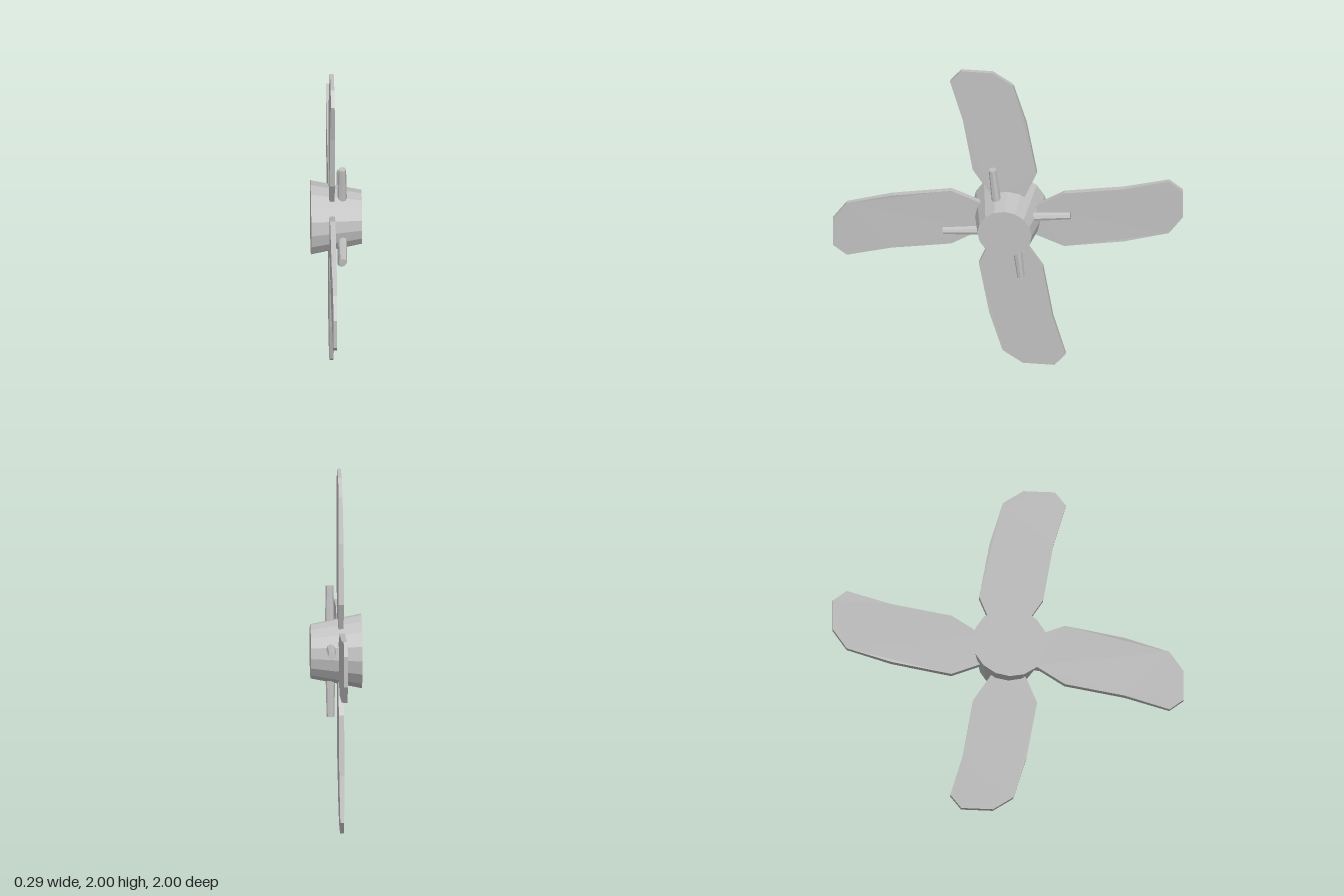
import * as THREE from 'three';

export function createModel() {
  const model = new THREE.Group();
  model.name = 'propeller';
  const metal = new THREE.MeshStandardMaterial({ color: 0xc0c0c0, flatShading: true });
  metal.name = 'grey metal';

  const rotor = new THREE.Group();
  rotor.name = 'rotor';
  rotor.position.y = 1;
  model.add(rotor);

  const add = (parent, name, geometry) => {
    const mesh = new THREE.Mesh(geometry, metal);
    mesh.name = name;
    parent.add(mesh);
    return mesh;
  };

  // Tapered hub along the x axis
  const hub = new THREE.CylinderGeometry(0.155, 0.213, 0.29, 16);
  hub.rotateZ(-Math.PI / 2);
  add(rotor, 'hub', hub);

  // Blade outline as (z, y) points, swept towards +z at the tip
  const outline = [
    [-0.09, 0.14], [-0.1, 0.165], [-0.165, 0.323], [-0.105, 0.665], [-0.03, 0.92], [0.086, 1],
    [0.267, 1], [0.33, 0.92], [0.257, 0.665], [0.2, 0.323], [0.1, 0.165], [0.09, 0.14],
  ].map(([z, y]) => new THREE.Vector2(z, y));
  const blade = new THREE.ExtrudeGeometry(new THREE.Shape(outline), { depth: 0.03, bevelEnabled: false });
  blade.translate(0, 0, -0.015);
  blade.rotateY(-Math.PI / 2);

  // Thin the blade near its tip
  const p = blade.attributes.position;
  for (let i = 0; i < p.count; i++) {
    const taper = 1 - 0.3 * THREE.MathUtils.smoothstep(p.getY(i), 0.6, 1);
    p.setX(i, -0.026 + p.getX(i) * taper);
  }
  blade.computeVertexNormals();

  // Tapered peg, leaning slightly round the hub
  const peg = new THREE.CylinderGeometry(0.022, 0.028, 0.26, 8);
  peg.translate(0, 0.13, 0);
  peg.rotateX(0.105);
  peg.translate(0.033, 0.105, 0.054);

  // Four blades and pegs around the hub
  for (let i = 0; i < 4; i++) {
    const arm = new THREE.Group();
    arm.name = 'arm' + (i + 1);
    arm.rotation.x = (i * Math.PI) / 2;
    add(arm, 'blade', blade);
    add(arm, 'peg', peg);
    rotor.add(arm);
  }
  return model;
}
